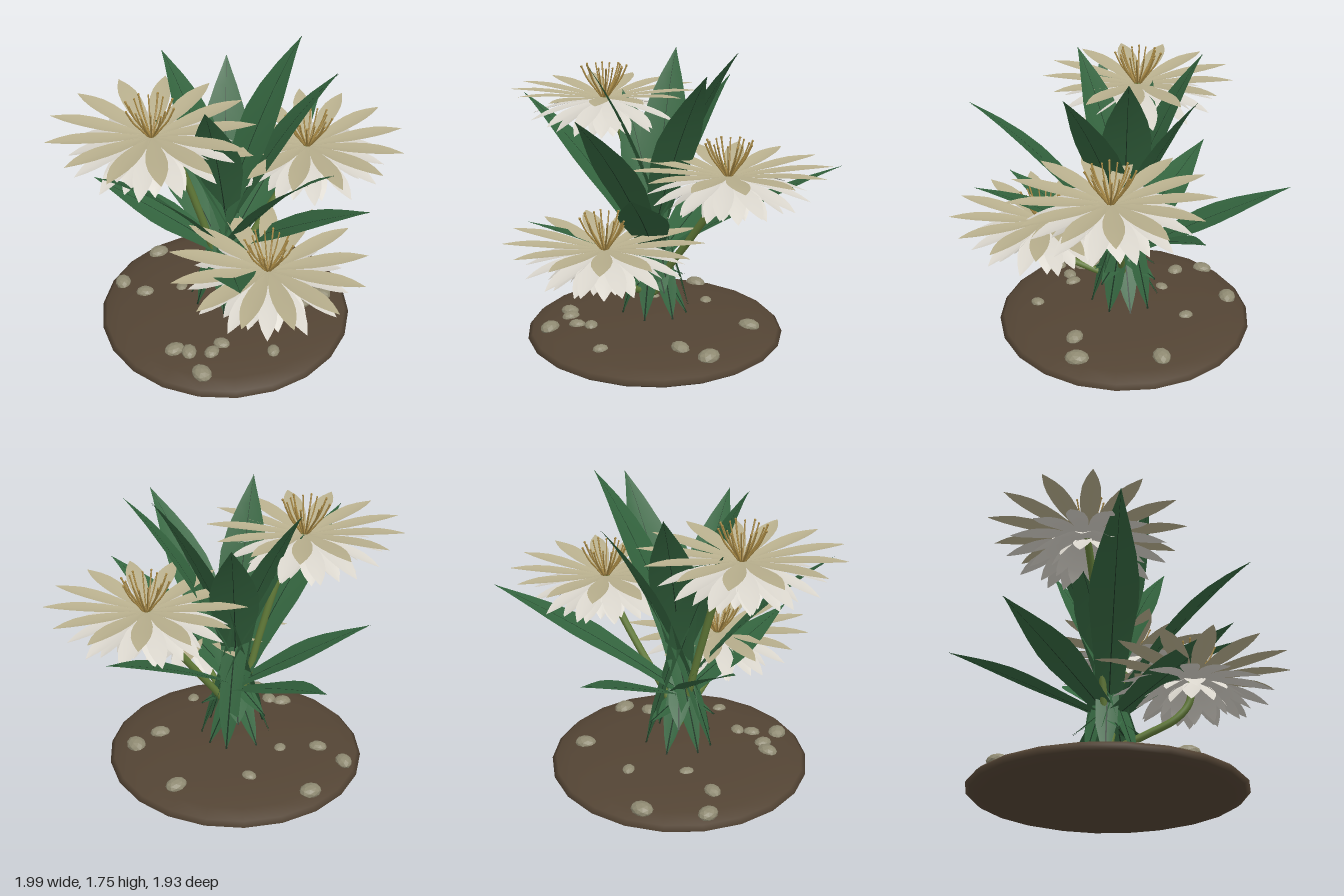
import * as THREE from 'three';

const mat = (color, extra = {}) => new THREE.MeshStandardMaterial({ color, ...extra });
const thin = { side: THREE.DoubleSide };
const M = {
  soil: mat(0x534434),
  pebble: mat(0x8f8a72, { flatShading: true }),
  leaf: mat(0x34653f, thin),
  vein: mat(0x1a3322, thin),
  stem: mat(0x617a38),
  cream: mat(0xb9b08e, thin),
  white: mat(0xd8d4cb, thin),
  stamen: mat(0xa98a45),
};
const CX = -0.06, CZ = -0.03; // centre of the clump

function add(parent, name, geometry, material) {
  const mesh = new THREE.Mesh(geometry, material);
  mesh.name = name;
  parent.add(mesh);
  return mesh;
}

const v3 = (x, y, z = 0) => new THREE.Vector3(x, y, z);

// Blade growing along +x in the xy plane: a spine curve widened along z.
// profile holds [t, half width] pairs; fold lifts the two edges.
function blade(curve, profile, fold, lift = 0) {
  const pos = [], idx = [];
  profile.forEach(([t, w], i) => {
    const p = curve.getPoint(t), d = curve.getTangent(t);
    const nx = -d.y, ny = d.x;
    for (const s of [-1, 0, 1]) {
      const h = lift + Math.abs(s) * w * fold;
      pos.push(p.x + nx * h, p.y + ny * h, s * w);
    }
    if (i === 0) return;
    const b = i * 3, a = b - 3;
    for (const k of [0, 1]) {
      idx.push(a + k, a + k + 1, b + k, a + k + 1, b + k + 1, b + k);
    }
  });
  const g = new THREE.BufferGeometry();
  g.setAttribute('position', new THREE.Float32BufferAttribute(pos, 3));
  g.setIndex(idx);
  g.computeVertexNormals();
  return g;
}

// Low earth mound with pebbles
function makeGround(root) {
  const profile = [[0, 0], [0.3, 0.007], [0.5, 0.022], [0.65, 0.045], [0.72, 0.066], [0.745, 0.085],
    [0.72, 0.108], [0.64, 0.133], [0.5, 0.152], [0.33, 0.164], [0, 0.17]]
    .map(([r, y]) => new THREE.Vector2(r, y));
  const mound = add(root, 'earthMound', new THREE.LatheGeometry(profile, 22), M.soil);
  mound.position.set(CX, 0, CZ);
  mound.rotation.y = Math.PI / 2;

  const spots = [ // x, z, size
    [-0.2, -0.65, 0.065], [-0.52, -0.5, 0.06], [-0.45, -0.33, 0.055], [-0.24, -0.25, 0.045],
    [0.05, -0.4, 0.045], [0.44, -0.27, 0.065], [0.48, 0.2, 0.07], [0.31, 0.23, 0.06],
    [-0.04, 0.49, 0.045], [-0.27, 0.3, 0.05], [-0.35, 0.33, 0.05], [-0.47, 0.43, 0.065],
    [-0.52, 0.2, 0.06], [-0.46, 0.26, 0.055],
  ];
  spots.forEach(([x, z, s], i) => {
    const r = Math.hypot(x - CX, z - CZ);
    const p = add(root, 'pebble', new THREE.IcosahedronGeometry(s, 1), M.pebble);
    p.position.set(x, r < 0.4 ? 0.156 : 0.16 - (r - 0.4) * 0.11, z);
    p.scale.set(1, 0.58, 0.8);
    p.rotation.y = i * 1.3;
  });
}

// Broad pointed leaves crossing near the centre, each with a short tail on the far side
function makeLeaves(root) {
  const tips = [
    [-0.06, 0.97, -0.96], [0.88, 1.13, -0.47], [0.08, 1.49, 0.79], [0.37, 1.13, 0.73],
    [-0.37, 0.87, 0.68], [-0.86, 1.43, 0.17], [-0.65, 0.98, -0.48], [0.47, 1.67, 0.24],
    [0.45, 1.75, -0.08], [0.18, 1.56, -0.42], [-0.21, 1.68, -0.44], [-0.32, 1.67, 0.25],
    [-0.4, 1.45, -0.17],
  ];
  const shape = [[0, 0], [0.05, 0.034], [0.1, 0.058], [0.2, 0.064], [0.34, 0.084], [0.46, 0.112],
    [0.55, 0.132], [0.64, 0.131], [0.74, 0.104], [0.85, 0.06], [0.94, 0.022], [1, 0]];
  const veinShape = shape.map(([t]) => [t, 0.004 * (1.1 - t)]);
  for (const [x, y, z] of tips) {
    const dx = x - CX, dz = z - CZ, reach = Math.hypot(dx, dz);
    const tail = -0.2, low = y < 1.2 ? 0.38 : 0.21;
    const spine = new THREE.QuadraticBezierCurve3(
      v3(tail, low),
      v3((tail + reach) / 2, (low + y) / 2 + 0.3 * Math.max(0, y - low - 0.45)),
      v3(reach, y));
    const leaf = new THREE.Group();
    leaf.name = 'leaf';
    add(leaf, 'leafBlade', blade(spine, shape, 0.1), M.leaf);
    for (const side of [-1, 1]) add(leaf, 'leafVein', blade(spine, veinShape, 0, side * 0.003), M.vein);
    leaf.position.set(CX, 0, CZ);
    leaf.rotation.y = Math.atan2(-dz, dx);
    root.add(leaf);
  }
}

// One ring of petals; spine is a short list of [radius, height] points
function petalRing(flower, name, count, spine, width, material, phase) {
  const curve = new THREE.CatmullRomCurve3(spine.map(([r, y]) => v3(r, y)));
  const shape = [[0, 0.25], [0.2, 0.6], [0.4, 0.92], [0.55, 1], [0.7, 0.9], [0.83, 0.62], [0.93, 0.28], [1, 0]]
    .map(([t, w]) => [t, w * width]);
  const geometry = blade(curve, shape, 0.15);
  for (let i = 0; i < count; i++) {
    add(flower, name, geometry, material).rotation.y = ((i + phase) / count) * Math.PI * 2;
  }
}

function makeFlower(root, x, y, z, turn) {
  const flower = new THREE.Group();
  flower.name = 'flower';
  flower.position.set(x, y, z);
  flower.rotation.y = turn;
  root.add(flower);

  petalRing(flower, 'upperPetal', 13, [[0.02, 0], [0.2, 0.02], [0.38, 0.042], [0.545, 0.055]], 0.054, M.cream, 0);
  petalRing(flower, 'middlePetal', 13, [[0.02, -0.01], [0.18, -0.035], [0.32, -0.07], [0.44, -0.11]], 0.052, M.white, 0.5);
  petalRing(flower, 'lowerPetal', 12, [[0.02, -0.02], [0.12, -0.055], [0.22, -0.11], [0.31, -0.175]], 0.057, M.white, 0.2);
  petalRing(flower, 'innerPetal', 10, [[0.02, -0.03], [0.08, -0.07], [0.14, -0.13], [0.19, -0.195]], 0.05, M.white, 0);

  // Stamens flaring from the centre and turning upright, in an outer and an inner ring
  const filament = new THREE.TubeGeometry(new THREE.CatmullRomCurve3(
    [v3(0.01, -0.01), v3(0.05, 0.045), v3(0.095, 0.105), v3(0.13, 0.18)]), 8, 0.005, 5);
  const anther = new THREE.SphereGeometry(0.007, 6, 5).translate(0.13, 0.18, 0);
  for (let i = 0; i < 16; i++) {
    const stamen = new THREE.Group();
    stamen.name = 'stamen';
    add(stamen, 'filament', filament, M.stamen);
    add(stamen, 'anther', anther, M.stamen);
    stamen.rotation.y = (i / 16) * Math.PI * 2;
    if (i % 2) stamen.scale.set(0.8, 1, 0.8);
    flower.add(stamen);
  }
}

export function createModel() {
  const root = new THREE.Group();
  root.name = 'floweringPlant';
  makeGround(root);
  makeLeaves(root);

  // Flower heads with the middle points of their stems
  const heads = [
    { at: [-0.46, 1.41, -0.08], via: [[-0.13, 0.55, -0.04], [-0.21, 0.85, -0.05], [-0.33, 1.22, -0.07]], turn: 0.0 },
    { at: [0.46, 1.11, 0.01], via: [[0.04, 0.48, -0.02], [0.2, 0.7, -0.02], [0.36, 0.93, -0.01]], turn: 0.12 },
    { at: [-0.05, 0.71, 0.43], via: [[-0.06, 0.4, 0.18], [-0.06, 0.48, 0.34], [-0.05, 0.57, 0.41]], turn: 0.05 },
  ];
  for (const { at, via, turn } of heads) {
    const path = new THREE.CatmullRomCurve3([v3(CX, 0.31, CZ), ...via.map((p) => v3(...p)), v3(...at)]);
    add(root, 'stem', new THREE.TubeGeometry(path, 24, 0.021, 10), M.stem);
    makeFlower(root, ...at, turn);
  }
  return root;
}
